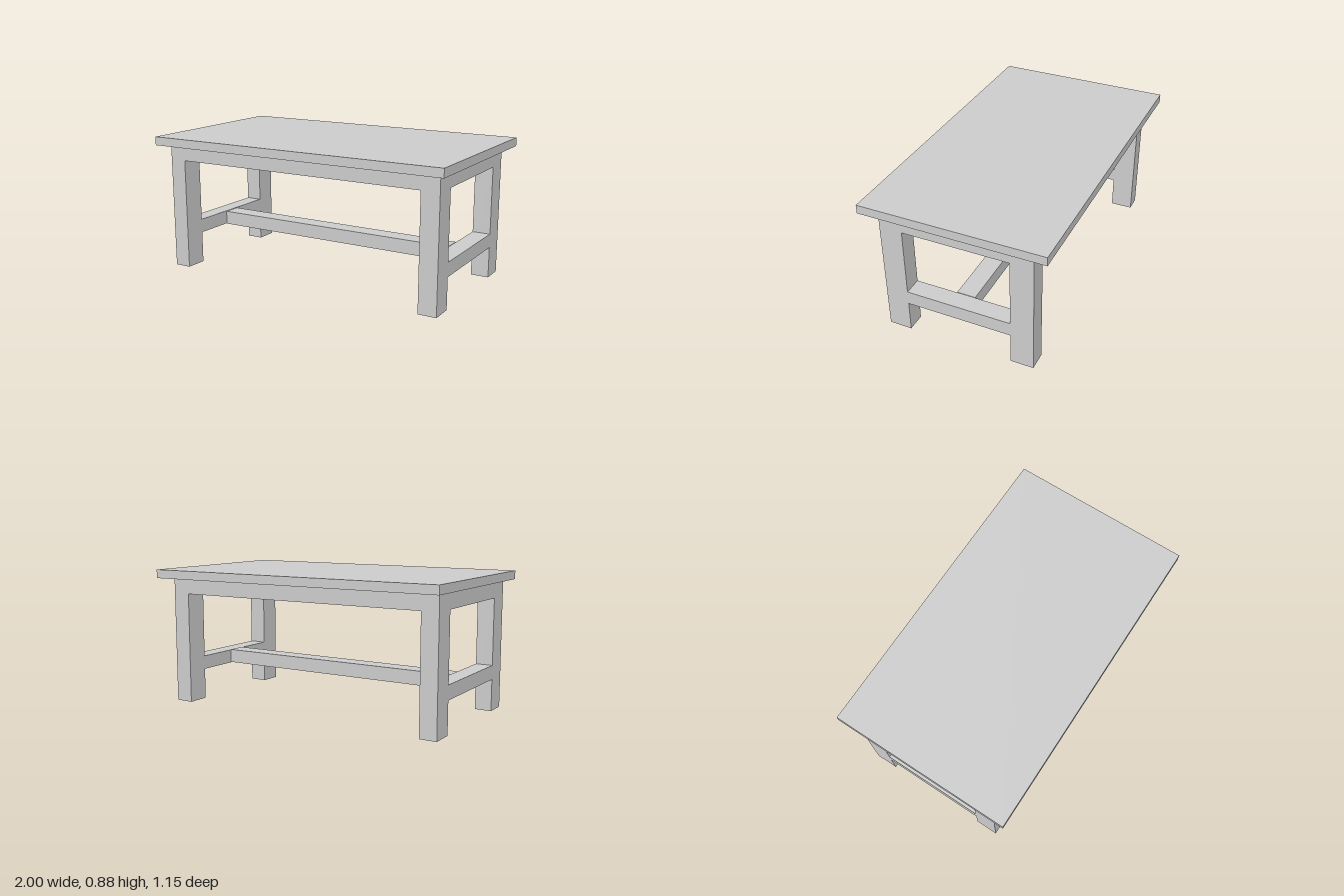
import * as THREE from 'three';

export function createModel() {
  const table = new THREE.Group();
  table.name = 'table';
  const material = new THREE.MeshStandardMaterial({ color: 0xcccccc, flatShading: true });

  // Box given by its extents along each axis
  function beam(name, [x0, x1], [y0, y1], [z0, z1]) {
    const mesh = new THREE.Mesh(new THREE.BoxGeometry(x1 - x0, y1 - y0, z1 - z0), material);
    mesh.position.set((x0 + x1) / 2, (y0 + y1) / 2, (z0 + z1) / 2);
    mesh.name = name;
    table.add(mesh);
  }

  const sides = { Right: [-0.957, -0.848], Left: [0.824, 0.94] };
  const ends = { front: [0.335, 0.479], back: [-0.476, -0.332] };
  const innerX = [sides.Right[1], sides.Left[0]];
  const innerZ = [ends.back[1], ends.front[0]];
  const topY = 0.822;
  const apronY = [0.719, topY];
  const stretcherY = { Right: [0.205, 0.295], Left: [0.199, 0.288] };

  beam('tableTop', [-1, 1], [topY, 0.877], [-0.576, 0.576]);

  // Legs, with aprons and low stretchers flush between them
  for (const [side, x] of Object.entries(sides)) {
    for (const [end, z] of Object.entries(ends)) beam(`${end}${side}Leg`, x, [0, topY], z);
    beam(`side${side}Apron`, x, apronY, innerZ);
    beam(`side${side}Stretcher`, x, stretcherY[side], innerZ);
  }
  for (const [end, z] of Object.entries(ends)) beam(`${end}Apron`, innerX, apronY, z);

  // Long stretcher joining the two side stretchers
  beam('centreStretcher', innerX, [0.202, 0.291], [-0.053, 0.066]);

  return table;
}
